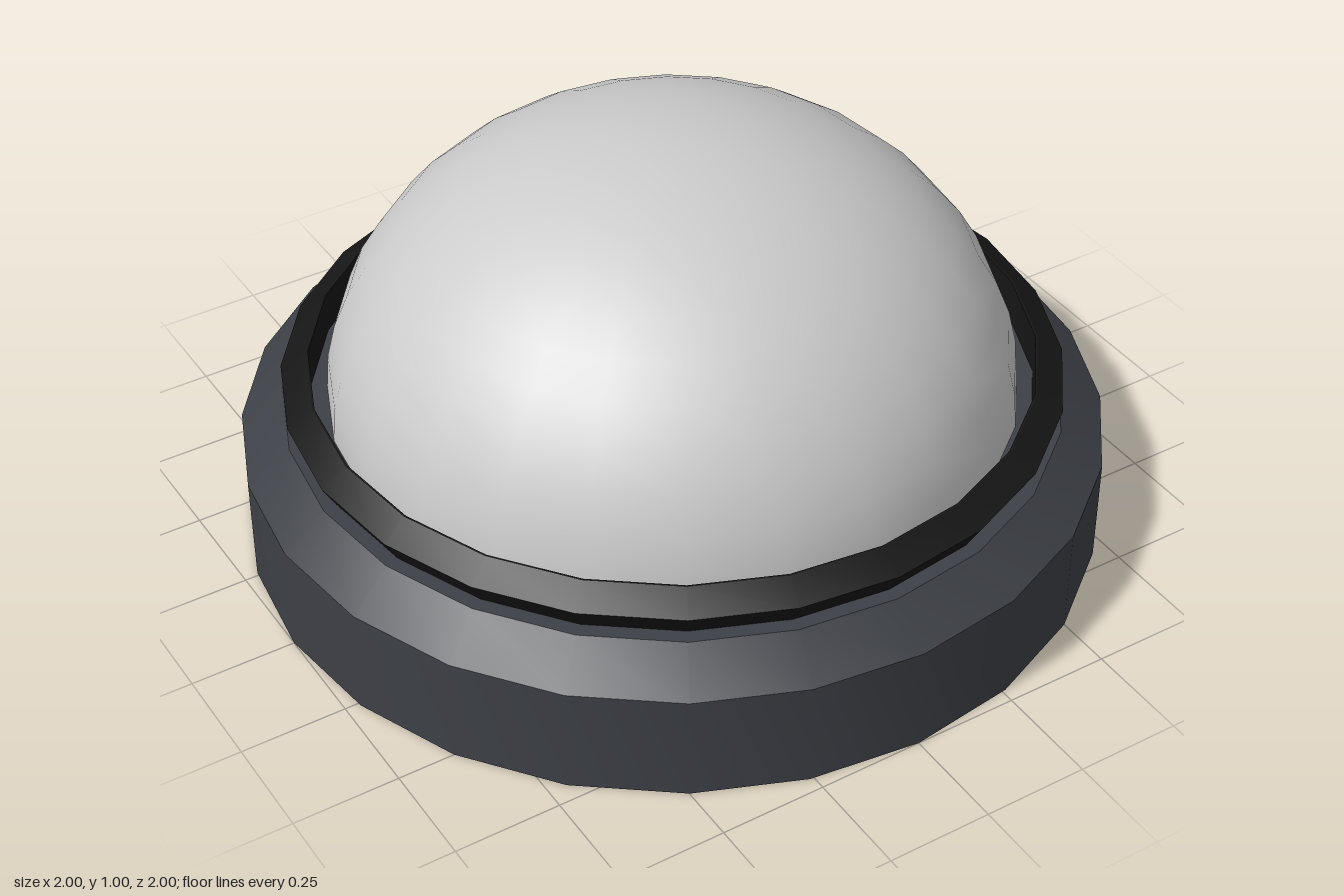
import * as THREE from 'three';
import { toCreasedNormals } from 'three/addons/utils/BufferGeometryUtils.js';

const SIDES = 24;

// Turned part from [radius, height] points, with sharp edges kept
function turned(name, points, color) {
  const profile = points.map(([r, y]) => new THREE.Vector2(r, y));
  const geometry = toCreasedNormals(new THREE.LatheGeometry(profile, SIDES), 0.5);
  const mesh = new THREE.Mesh(geometry, new THREE.MeshStandardMaterial({ color }));
  mesh.name = name;
  return mesh;
}

export function createModel() {
  const group = new THREE.Group();
  group.name = 'domeLamp';

  // Round base with a chamfered top edge
  group.add(turned('base', [[0, 0], [1, 0], [1, 0.26], [0.9, 0.34], [0, 0.34]], 0x3d4046));

  // Retaining ring, flared to a ridge
  group.add(turned('retainingRing',
    [[0.835, 0.33], [0.86, 0.33], [0.9, 0.4], [0.84, 0.44], [0.835, 0.44], [0.835, 0.33]], 0x161616));

  // Shallow dome resting on the base
  const dome = new THREE.Mesh(
    new THREE.SphereGeometry(1, SIDES, 12, 0, Math.PI * 2, 0, Math.PI / 2),
    new THREE.MeshStandardMaterial({ color: 0xcccccc, side: THREE.DoubleSide }));
  dome.name = 'dome';
  dome.scale.set(0.797, 0.66, 0.797);
  dome.position.y = 0.34;
  group.add(dome);

  return group;
}
